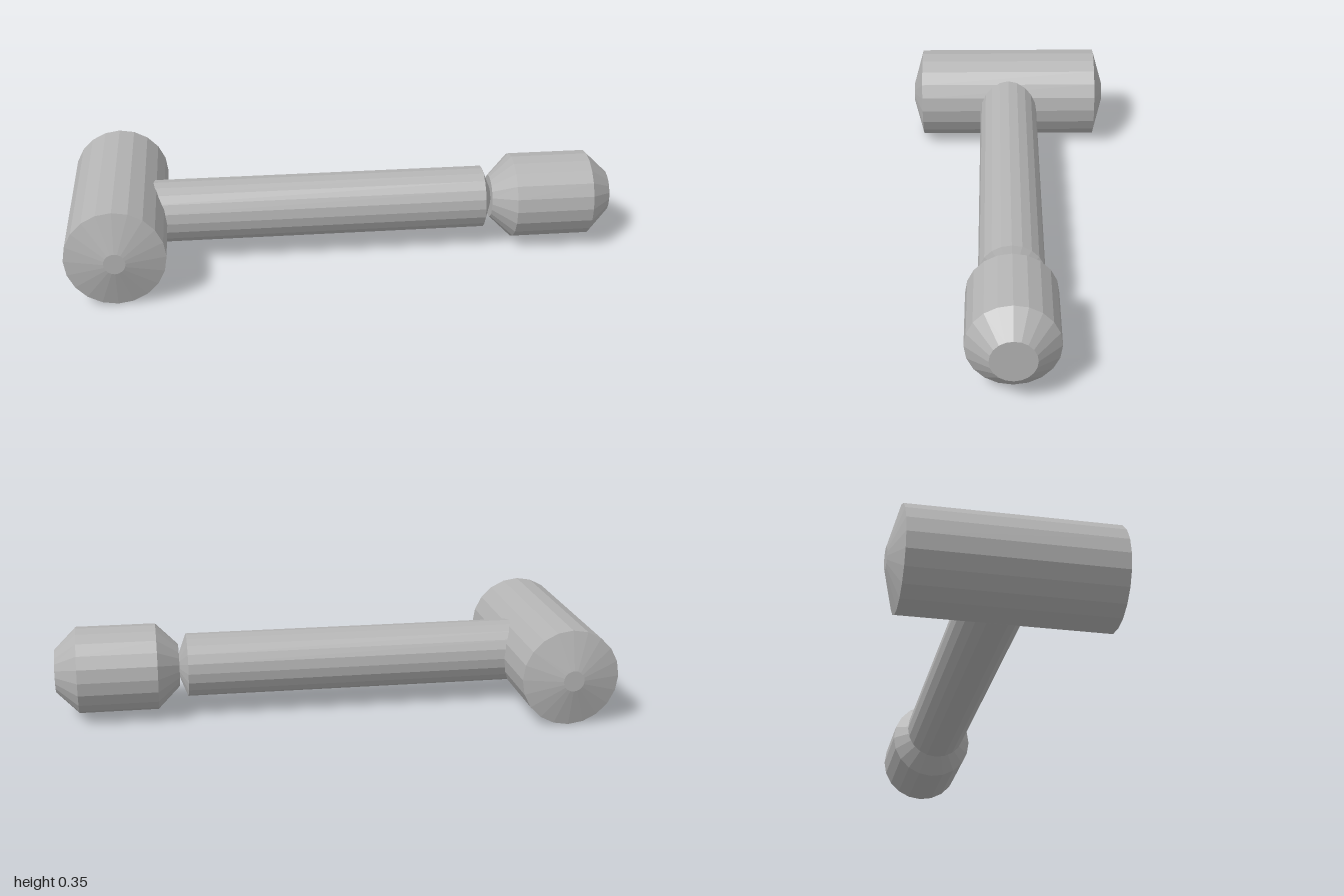
import * as THREE from 'three';

const SIDES = 20;
const AXIS_Y = 0.177; // height of every centre line

export function createModel() {
  const model = new THREE.Group();
  model.name = 'hammer';
  const grey = new THREE.MeshStandardMaterial({ color: 0xb4b4b4, flatShading: true });
  grey.name = 'plain grey';

  // Faceted turned part; profile is [radius, distance along axis], closed at both ends
  function turned(name, profile) {
    const first = profile[0], last = profile[profile.length - 1];
    const points = [[0, first[1]], ...profile, [0, last[1]]].map(([r, d]) => new THREE.Vector2(r, d));
    const mesh = new THREE.Mesh(new THREE.LatheGeometry(points, SIDES), grey);
    mesh.name = name;
    mesh.position.y = AXIS_Y;
    model.add(mesh);
    return mesh;
  }

  // Head: cylinder along z with shallow conical faces
  const head = turned('head', [[0.038, -0.394], [0.177, -0.355], [0.177, 0.355], [0.038, 0.394]]);
  head.rotation.x = Math.PI / 2;
  head.position.x = -0.823;

  // Handle: rod along x, rooted inside the head, tapering at the grip end
  const handle = turned('handle', [[0.115, -0.8], [0.115, 0.525], [0.025, 0.56]]);
  handle.rotation.z = -Math.PI / 2;

  // Pommel: chamfered knob at the end of the handle
  const pommel = turned('pommel', [[0.078, 0.555], [0.157, 0.635], [0.157, 0.92], [0.078, 1]]);
  pommel.rotation.z = -Math.PI / 2;

  return model;
}
